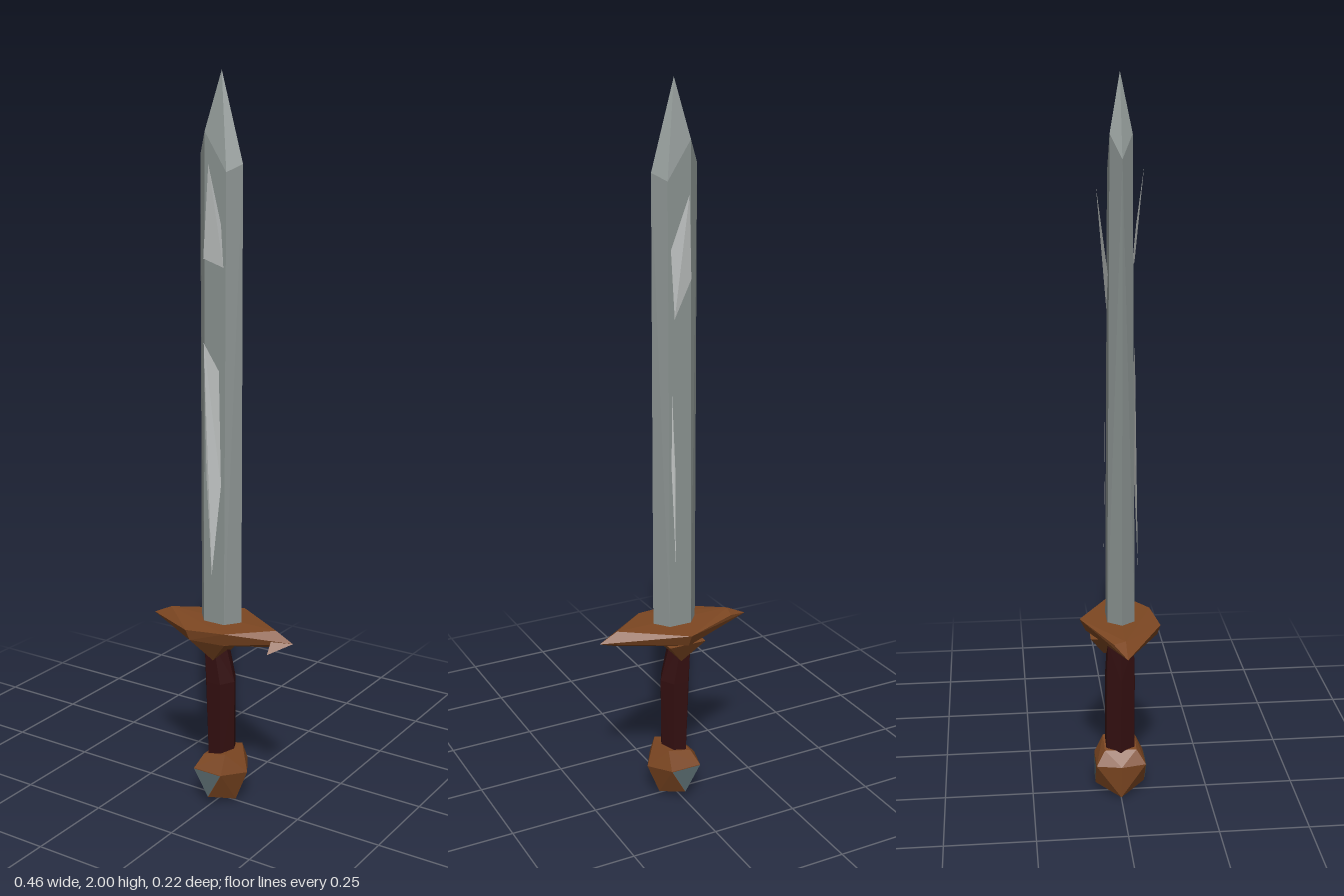
import * as THREE from 'three';
import { ConvexGeometry } from 'three/addons/geometries/ConvexGeometry.js';

const mat = (name, color, extra = {}) => {
  const m = new THREE.MeshStandardMaterial({ color, ...extra });
  m.name = name;
  return m;
};

const vec = (p) => new THREE.Vector3(...p);

// Faceted solid through a few corner points
function solid(name, points, material) {
  const mesh = new THREE.Mesh(new ConvexGeometry(points.map(vec)), material);
  mesh.name = name;
  return mesh;
}

// Thin flat-shaded sheet fanned from its first corner
function sheet(name, points, material) {
  const pos = [];
  for (let i = 1; i < points.length - 1; i++) pos.push(...points[0], ...points[i], ...points[i + 1]);
  const geo = new THREE.BufferGeometry();
  geo.setAttribute('position', new THREE.Float32BufferAttribute(pos, 3));
  geo.computeVertexNormals();
  const mesh = new THREE.Mesh(geo, material);
  mesh.name = name;
  return mesh;
}

// Six-sided ring: sharp edges at left and right, flats at front and back
const hexRing = (y, x0, x1, z) => {
  const c = (x0 + x1) / 2, h = (x1 - x0) / 4;
  return [[x0, y, 0], [x1, y, 0], [c - h, y, z], [c + h, y, z], [c - h, y, -z], [c + h, y, -z]];
};

export function createModel() {
  const steel = mat('steel', 0x8a9290);
  const shine = mat('shine', 0xc4c8c7, { side: THREE.DoubleSide });
  const bronze = mat('bronze', 0x7d4722);
  const bronzeSheet = mat('bronze sheet', 0x7d4722, { side: THREE.DoubleSide });
  const leather = mat('leather', 0x330f10);
  const gemBlue = mat('gem', 0x55666a, { side: THREE.DoubleSide });

  const sword = new THREE.Group();
  sword.name = 'sword';

  // Blade: hexagonal section with uneven shoulders and a point
  sword.add(solid('blade', [
    ...hexRing(0.52, -0.066, 0.064, 0.038),
    [-0.066, 1.79, 0], [0.064, 1.77, 0],
    [-0.033, 1.85, 0.029], [-0.033, 1.85, -0.029],
    [0.033, 1.75, 0.03], [0.033, 1.75, -0.03],
    [0, 2, 0],
  ], steel));

  // Chipped slivers lifting off the front and back flats
  sword.add(sheet('frontUpperSliver', [
    [0, 1.77, 0.062], [-0.035, 1.53, 0.034], [0.027, 1.51, 0.034], [0.027, 1.62, 0.045],
  ], shine));
  sword.add(sheet('frontLowerSliver', [
    [-0.033, 1.31, 0.036], [-0.022, 0.95, 0.041], [0, 0.68, 0.05], [0.024, 0.93, 0.041], [0.015, 1.24, 0.037],
  ], shine));
  sword.add(sheet('backUpperSliver', [
    [-0.012, 1.72, -0.062], [0.03, 1.58, -0.042], [0.015, 1.4, -0.034], [-0.033, 1.5, -0.034],
  ], shine));
  sword.add(sheet('backLowerSliver', [
    [0.024, 1.2, -0.037], [0.027, 1, -0.039], [0.016, 0.72, -0.043], [0.016, 1, -0.039],
  ], shine));

  // Guard: irregular diamond plate
  sword.add(solid('guard', [
    [-0.228, 0.512, 0], [-0.17, 0.54, 0], [-0.165, 0.53, -0.032],
    [0.003, 0.535, -0.112], [-0.048, 0.53, 0.108], [0.065, 0.535, 0.09],
    [0.175, 0.54, 0], [0.228, 0.513, 0], [0.175, 0.494, 0.005],
    [-0.08, 0.497, 0], [-0.04, 0.5, 0.1], [0.055, 0.497, 0.08], [0.003, 0.5, -0.095],
  ], bronze));

  // Bent shard at one end of the guard
  sword.add(sheet('guardShard', [
    [0.174, 0.525, 0.02], [0.18, 0.49, 0.056], [0.228, 0.513, 0],
  ], bronzeSheet));

  // Collar: wedge under the guard, narrowing toward the grip
  sword.add(solid('collar', [
    [-0.055, 0.498, 0.088], [0.06, 0.498, 0.08], [-0.055, 0.498, -0.085], [0.055, 0.498, -0.085],
    [0, 0.43, 0.045], [0, 0.43, -0.045],
  ], bronze));

  // Grip
  sword.add(solid('grip', [
    ...hexRing(0.47, -0.048, 0.012, 0.036),
    ...hexRing(0.36, -0.046, 0.042, 0.04),
    ...hexRing(0.12, -0.036, 0.04, 0.04),
  ], leather));

  // Pommel with a triangular gem on front and back
  const corners = [[0.085, 0.097, 0], [-0.066, 0.105, 0], [0.047, 0.004, 0], [-0.053, 0.004, 0], [0, 0, 0]];
  for (const s of [1, -1]) {
    corners.push([-0.048, 0.103, 0.07 * s], [0.042, 0.103, 0.07 * s], [0, 0.027, 0.07 * s]);
    corners.push([-0.03, 0.142, 0.045 * s], [0.04, 0.157, 0.045 * s]);
  }
  sword.add(solid('pommel', corners, bronze));
  for (const s of [1, -1]) {
    const z = 0.0715 * s;
    const tri = [[-0.047, 0.102, z], [0, 0.028, z], [0.041, 0.102, z]];
    sword.add(sheet(s > 0 ? 'frontGem' : 'backGem', s > 0 ? tri : tri.reverse(), gemBlue));
  }

  return sword;
}
